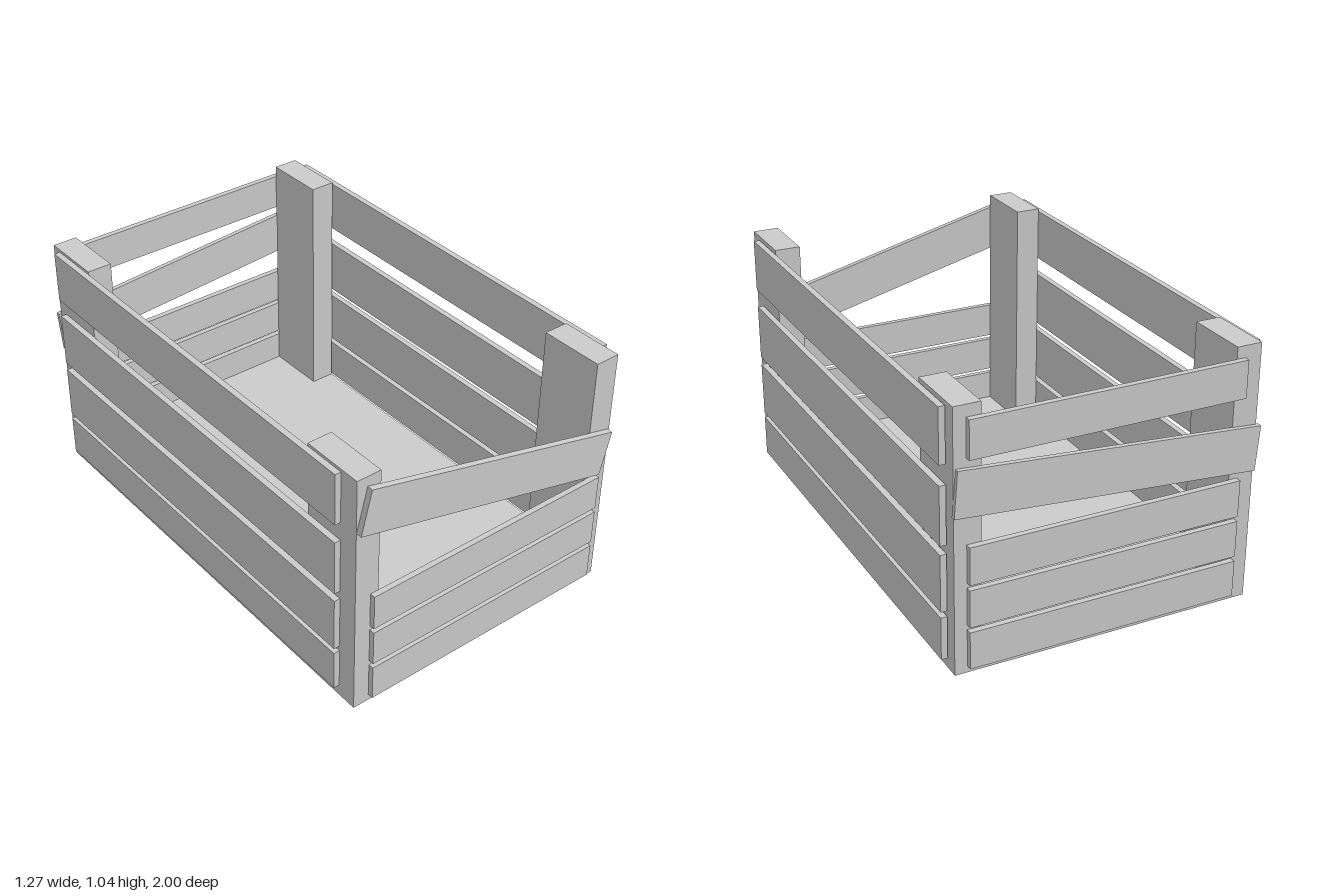
import * as THREE from 'three';

export function createModel() {
  const group = new THREE.Group();
  group.name = 'woodenCrate';
  const material = new THREE.MeshStandardMaterial({ color: 0xcccccc, flatShading: true });

  // Box given by its extents on each axis
  function board(name, [x0, x1], [y0, y1], [z0, z1], tilt = 0) {
    const mesh = new THREE.Mesh(new THREE.BoxGeometry(x1 - x0, y1 - y0, z1 - z0), material);
    mesh.position.set((x0 + x1) / 2, (y0 + y1) / 2, (z0 + z1) / 2);
    mesh.rotation.z = tilt;
    mesh.name = name;
    group.add(mesh);
  }

  // Thin floor
  board('floor', [-0.613, 0.605], [0, 0.05], [-0.975, 0.975]);

  // Corner posts
  const postX = { right: [-0.613, -0.51], left: [0.5, 0.605] };
  const postZ = { Front: [0.708, 0.975], Back: [-0.975, -0.708] };
  for (const side in postX)
    for (const end in postZ)
      board(`${side}${end}Post`, postX[side], [0, 1.045], postZ[end]);

  // Long side slats
  const sideRows = [[0.049, 0.221], [0.244, 0.472], [0.507, 0.739], [0.817, 1.033]];
  sideRows.forEach((y, i) => {
    board(`rightSlat${i + 1}`, [-0.638, -0.613], y, [-0.93, 0.89]);
    board(`leftSlat${i + 1}`, [0.611, 0.636], y, [-0.93, 0.89]);
  });

  // Level end slats; the back keeps its top one
  const endX = [-0.545, 0.556];
  const frontZ = [0.975, 0.998], backZ = [-0.999, -0.975];
  const endRows = [[0.027, 0.177], [0.197, 0.347], [0.367, 0.517]];
  endRows.forEach((y, i) => {
    board(`frontSlat${i + 1}`, endX, y, frontZ);
    board(`backSlat${i + 1}`, endX, y, backZ);
  });
  board('backTopSlat', endX, [0.848, 0.998], backZ);

  // Loose slats hanging at an angle
  board('frontLooseSlat', [-0.608, 0.592], [0.675, 0.861], [0.975, 1], -0.245);
  board('backLooseSlat', [-0.619, 0.605], [0.587, 0.768], [-0.992, -0.972], 0.077);

  return group;
}
